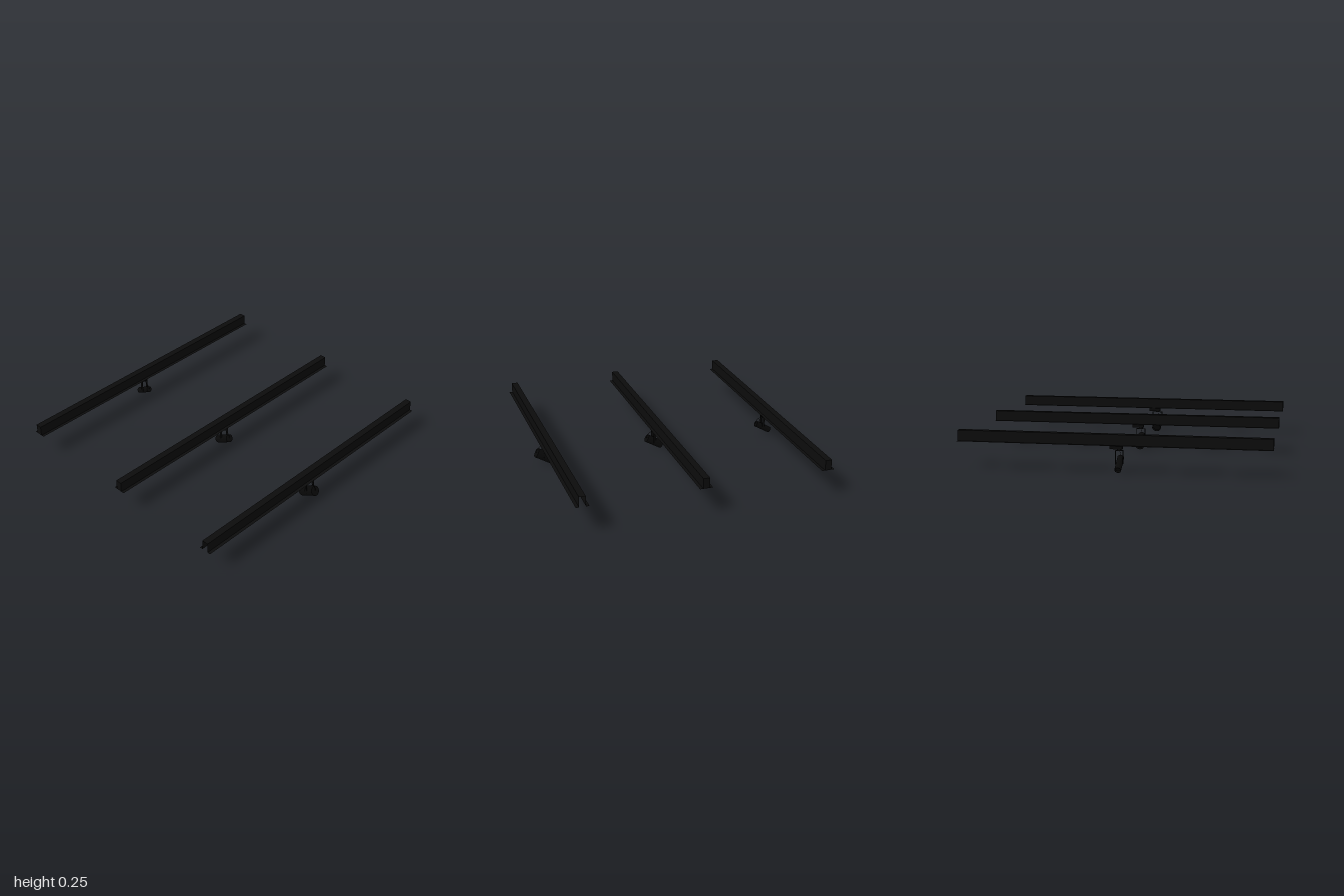
import * as THREE from 'three';
import { toCreasedNormals } from 'three/addons/utils/BufferGeometryUtils.js';

const LAMP_Z = 0.043;
const RAIL_BOTTOM = 0.177, RAIL_TOP = 0.246;

export function createModel() {
  const railBlack = new THREE.MeshStandardMaterial({ name: 'railBlack', color: 0x0c0c0c, side: THREE.DoubleSide });
  const lampBlack = new THREE.MeshStandardMaterial({ name: 'lampBlack', color: 0x080808 });
  const model = new THREE.Group();
  model.name = 'trackLights';

  function add(parent, name, geometry, material, x = 0, y = 0, z = 0) {
    const mesh = new THREE.Mesh(geometry, material);
    mesh.name = name;
    mesh.position.set(x, y, z);
    parent.add(mesh);
    return mesh;
  }
  const box = (w, h, d) => new THREE.BoxGeometry(w, h, d);

  // Sheet-metal channel with side flanges, open along the bottom
  function addRail(parent, capped) {
    const rail = new THREE.Group();
    rail.name = 'rail';
    parent.add(rail);
    const width = 0.043, height = RAIL_TOP - RAIL_BOTTOM, midY = (RAIL_TOP + RAIL_BOTTOM) / 2;
    add(rail, 'railTop', new THREE.PlaneGeometry(width, 2), railBlack, 0, RAIL_TOP).rotation.x = -Math.PI / 2;
    for (const s of [-1, 1]) {
      add(rail, 'railSide', new THREE.PlaneGeometry(2, height), railBlack, s * width / 2, midY)
        .rotation.y = s * Math.PI / 2;
      add(rail, 'railFlange', new THREE.PlaneGeometry(0.021, 2), railBlack, s * 0.032, RAIL_BOTTOM)
        .rotation.x = -Math.PI / 2;
      if (capped) add(rail, 'railEndCap', new THREE.PlaneGeometry(width, height), railBlack, 0, midY, s)
        .rotation.y = s > 0 ? 0 : Math.PI;
    }
  }

  // Tilted spot with its adapter, yoke and cable
  function addSpot(parent, radius, armWidth) {
    const spot = new THREE.Group();
    spot.name = 'spotlight';
    parent.add(spot);

    // Adapter clipped into the rail
    add(spot, 'adapterPlug', box(0.010, 0.03, 0.05), lampBlack, 0, 0.19, 0.024);
    add(spot, 'adapter', box(0.027, 0.026, 0.08), lampBlack, 0, 0.165, 0.024);
    add(spot, 'swivel', new THREE.CylinderGeometry(0.013, 0.013, 0.012, 24), lampBlack, 0, 0.149, LAMP_Z);

    // U-shaped yoke
    const halfYoke = radius + 0.002;
    add(spot, 'yokeBridge', box(armWidth, 0.003, 2 * halfYoke + 0.003), lampBlack, 0, 0.143, LAMP_Z);
    for (const s of [-1, 1])
      add(spot, 'yokeArm', box(armWidth, 0.088, 0.003), lampBlack, 0, 0.1, LAMP_Z + s * halfYoke);

    // Cylindrical lamp head with a recessed front
    const half = 0.061;
    const profile = [
      [0, -half], [radius, -half], [radius, half], [radius - 0.003, half],
      [radius - 0.006, half - 0.01], [0, half - 0.01],
    ].map(([r, y]) => new THREE.Vector2(r, y));
    const head = toCreasedNormals(new THREE.LatheGeometry(profile, 40), 0.6);
    add(spot, 'lampHead', head, lampBlack, -0.002, 0.058, LAMP_Z).rotation.z = Math.PI * 2 / 3;

    // Cable from the swivel to the back of the head
    const cable = new THREE.CatmullRomCurve3([
      [0.004, 0.136], [0.022, 0.131], [0.041, 0.118], [0.052, 0.1], [0.048, 0.086],
    ].map(([x, y]) => new THREE.Vector3(x, y, LAMP_Z)));
    add(spot, 'cable', new THREE.TubeGeometry(cable, 24, 0.0014, 8), lampBlack);
  }

  const units = [
    { x: -0.805, radius: 0.021, armWidth: 0.018, capped: true },
    { x: 0.023, radius: 0.0275, armWidth: 0.016, capped: true },
    { x: 0.808, radius: 0.033, armWidth: 0.015, capped: false },
  ];
  for (const { x, radius, armWidth, capped } of units) {
    const unit = new THREE.Group();
    unit.name = 'trackUnit';
    unit.position.x = x;
    addRail(unit, capped);
    addSpot(unit, radius, armWidth);
    model.add(unit);
  }
  return model;
}
